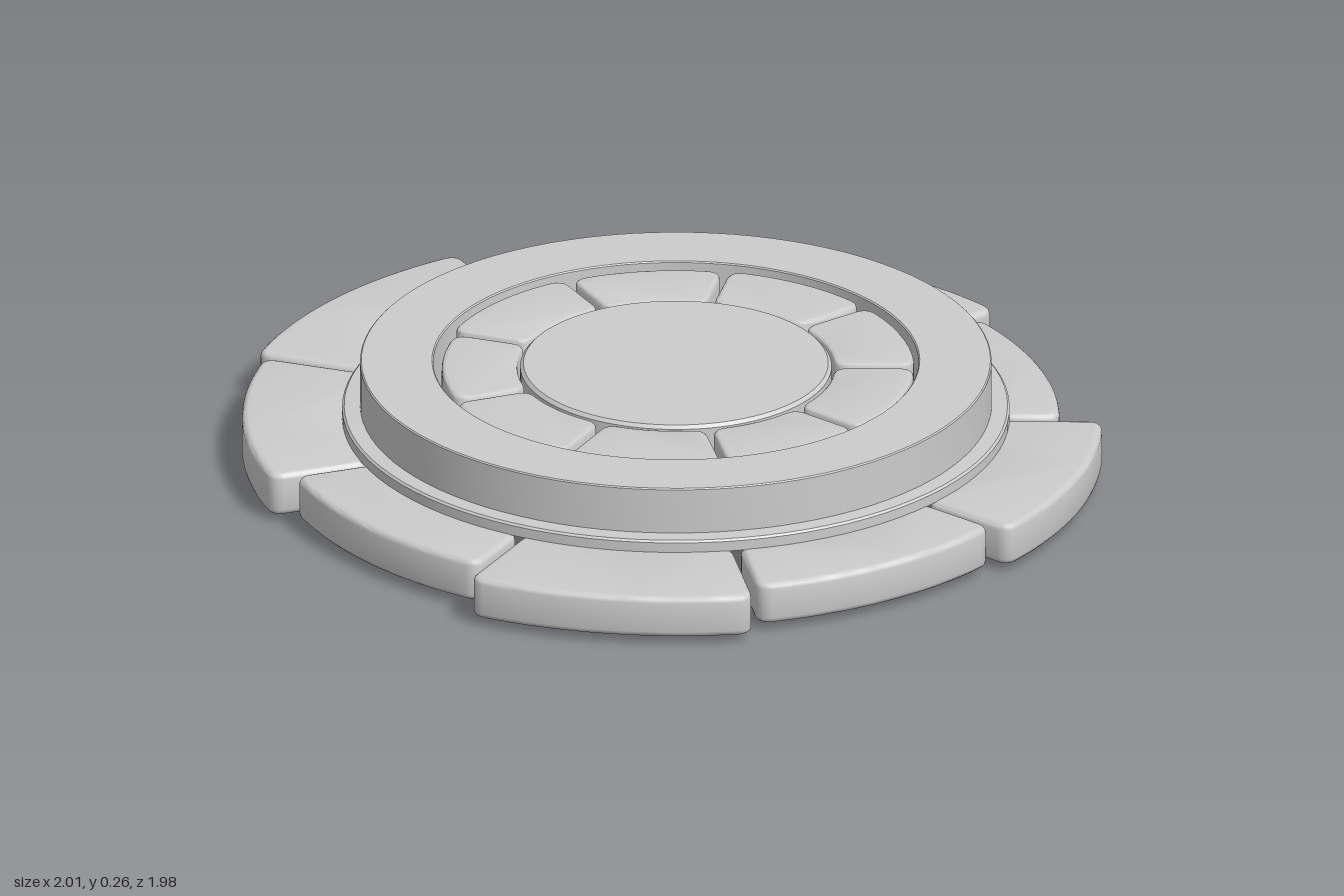
import * as THREE from 'three';
import { toCreasedNormals } from 'three/addons/utils/BufferGeometryUtils.js';

const CENTRE_Z = -0.055;
const material = new THREE.MeshStandardMaterial({ color: 0xcccccc });

function addMesh(parent, name, geometry) {
  const mesh = new THREE.Mesh(toCreasedNormals(geometry, 0.6), material);
  mesh.name = name;
  parent.add(mesh);
}

// Wedge of a ring with rounded corners and bevelled edges.
// Angles in degrees run from +x towards +z; the rim may grow from rimA to rimB.
function stoneGeometry({ from, to, inner, rimA, rimB, bottom, top, bevel, corner }) {
  const rad = THREE.MathUtils.degToRad;
  const a0 = rad(from), a1 = rad(to);
  const at = (r, a) => new THREE.Vector2(r * Math.cos(a), r * Math.sin(a));
  const rI = inner + bevel;
  const rim = (a) => THREE.MathUtils.lerp(rimA, rimB, (a - a0) / (a1 - a0)) - bevel;
  const padO = bevel / rimA, padI = bevel / inner;   // keep the bevel inside the wedge
  const b0 = a0 + padO, b1 = a1 - padO, c0 = a0 + padI, c1 = a1 - padI;
  const dO = corner / rimA, dI = corner / inner;
  const shape = new THREE.Shape();
  const line = (p) => shape.lineTo(p.x, p.y);
  const bend = (c, p) => shape.quadraticCurveTo(c.x, c.y, p.x, p.y);
  const steps = 16;

  const start = at(rim(b0), b0 + dO);
  shape.moveTo(start.x, start.y);
  for (let i = 1; i <= steps; i++) {
    const a = THREE.MathUtils.lerp(b0 + dO, b1 - dO, i / steps);
    line(at(rim(a), a));
  }
  bend(at(rim(b1), b1), at(rim(b1) - corner, b1));
  line(at(rI + corner, c1));
  bend(at(rI, c1), at(rI, c1 - dI));
  for (let i = 1; i <= steps; i++) line(at(rI, THREE.MathUtils.lerp(c1 - dI, c0 + dI, i / steps)));
  bend(at(rI, c0), at(rI + corner, c0));
  line(at(rim(b0) - corner, b0));
  bend(at(rim(b0), b0), start);

  const geometry = new THREE.ExtrudeGeometry(shape, {
    depth: top - bottom - 2 * bevel, bevelThickness: bevel, bevelSize: bevel,
    bevelSegments: 3, curveSegments: 4,
  });
  geometry.rotateX(Math.PI / 2);
  geometry.translate(0, top - bevel, 0);
  return geometry;
}

const lathe = (points) =>
  new THREE.LatheGeometry(points.map(([r, y]) => new THREE.Vector2(r, y)), 96);

export function createModel() {
  const model = new THREE.Group();
  model.name = 'stoneDais';
  const body = new THREE.Group();
  body.name = 'dais';
  body.position.z = CENTRE_Z;
  model.add(body);

  // Raised ring with a thin lip around its foot
  addMesh(body, 'raisedRing', lathe([
    [0.567, 0.12], [0.78, 0.12], [0.78, 0.145], [0.775, 0.15], [0.738, 0.152],
    [0.738, 0.262], [0.735, 0.265], [0.57, 0.265], [0.567, 0.262], [0.567, 0.12],
  ]));

  // Round slab in the middle
  addMesh(body, 'centreSlab', lathe([
    [0, 0.12], [0.356, 0.12], [0.364, 0.128], [0.364, 0.25], [0.356, 0.258], [0, 0.258],
  ]));

  // Outer paving stones: start angle, end angle, rim radius at each end, underside height
  const outer = new THREE.Group();
  outer.name = 'outerStones';
  body.add(outer);
  [
    [1.9, 40.2, 0.997, 1.005, 0.02],
    [41.2, 79.6, 0.967, 0.99, 0.02],
    [80.8, 118.4, 1.045, 1.04, 0.02],
    [119.6, 160, 0.96, 0.95, 0.02],
    [160.8, 200.3, 1.005, 1.022, 0.016],
    [201.3, 242, 1.045, 1.067, 0.0],
    [243.4, 281, 0.93, 0.942, 0.012],
    [282.4, 321, 0.97, 0.97, 0.02],
    [322.1, 360.4, 0.907, 0.897, 0.02],
  ].forEach(([from, to, rimA, rimB, bottom], i) => {
    addMesh(outer, `outerStone${i + 1}`, stoneGeometry({
      from, to, rimA, rimB, bottom, inner: 0.755, top: 0.121, bevel: 0.014, corner: 0.02,
    }));
  });

  // Inner paving stones between the slab and the ring
  const inner = new THREE.Group();
  inner.name = 'innerStones';
  body.add(inner);
  const joints = [1, 41, 79, 118, 159.5, 201, 243.5, 283, 323, 361];
  const rims = [0.557, 0.556, 0.565, 0.557, 0.547, 0.56, 0.552, 0.558, 0.558];
  rims.forEach((rim, i) => {
    addMesh(inner, `innerStone${i + 1}`, stoneGeometry({
      from: joints[i] + 1, to: joints[i + 1] - 1, rimA: rim, rimB: rim,
      inner: 0.37, bottom: 0.125, top: 0.252, bevel: 0.01, corner: 0.025,
    }));
  });

  return model;
}
